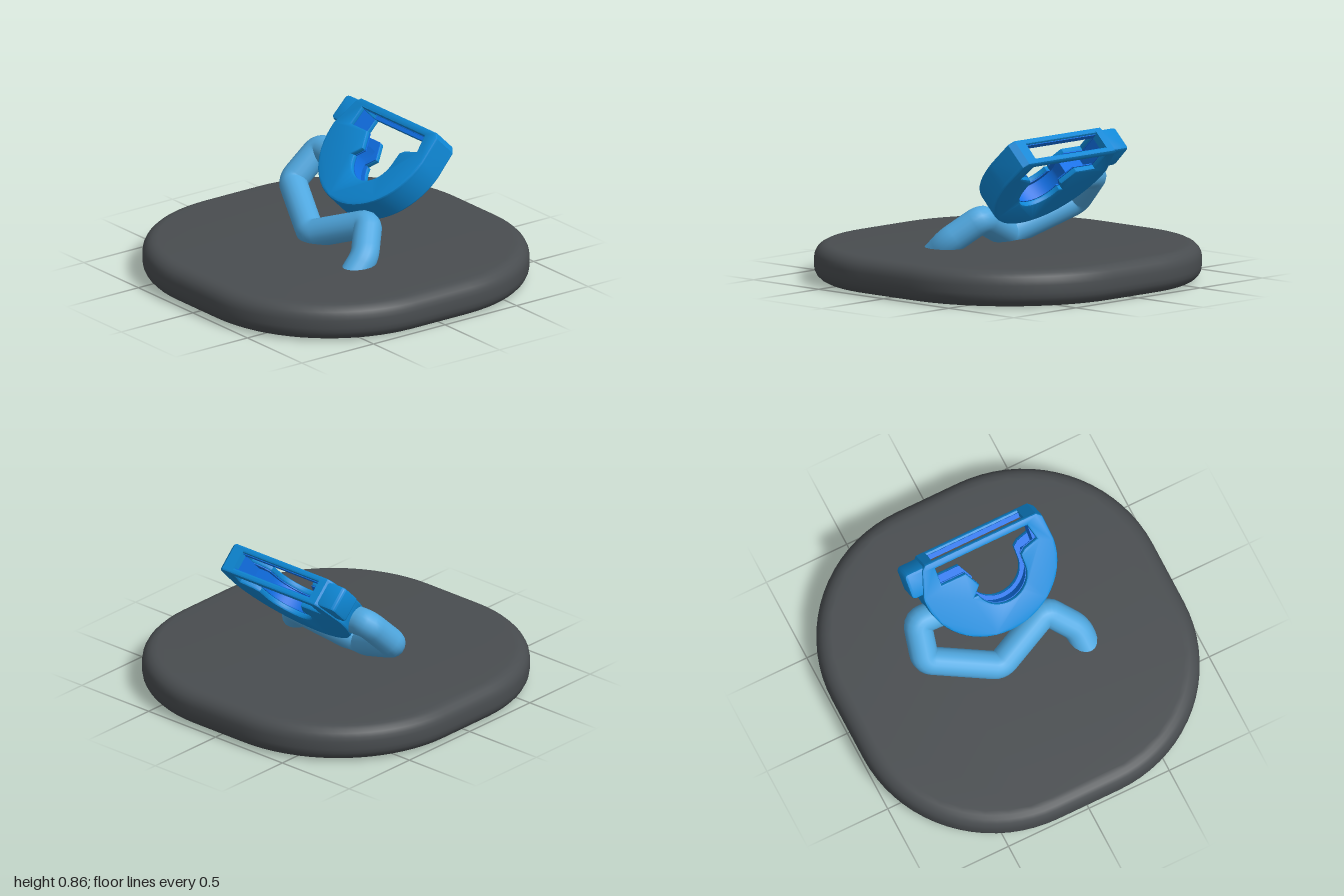
import * as THREE from 'three';
import { toCreasedNormals } from 'three/addons/utils/BufferGeometryUtils.js';

const material = (name, color) => new THREE.MeshStandardMaterial({ name, color });

// Extrude a shape centred on z = 0, with softened edges that keep the outline size
function slab(shape, depth, bevel, steps = 2, curveSegments = 14) {
  const geo = new THREE.ExtrudeGeometry(shape, {
    depth: depth - 2 * bevel, curveSegments, bevelEnabled: bevel > 0,
    bevelThickness: bevel, bevelSize: bevel, bevelOffset: -bevel, bevelSegments: steps,
  });
  geo.translate(0, 0, -depth / 2 + bevel);
  return toCreasedNormals(geo, 0.6);
}

function roundedRect(w, h, r) {
  const x = w / 2 - r, y = h / 2 - r, s = new THREE.Shape();
  s.absarc(x, y, r, 0, Math.PI / 2);
  s.absarc(-x, y, r, Math.PI / 2, Math.PI);
  s.absarc(-x, -y, r, Math.PI, Math.PI * 1.5);
  s.absarc(x, -y, r, Math.PI * 1.5, Math.PI * 2);
  s.closePath();
  return s;
}

const lines = (path, points) => points.forEach(([x, y]) => path.lineTo(x, y));

// Outer D outline, from the top left corner round the bottom to the top right
function dOutline(shape) {
  lines(shape, [[-0.31, 0.855], [-0.335, 0.83]]);
  shape.absarc(0.02, 0.665, 0.405, Math.PI, Math.PI * 2);
  lines(shape, [[0.41, 0.825], [0.38, 0.855]]);
}

// Window with a round lower bay and a hooked left lip
function windowPath() {
  const p = new THREE.Path();
  p.moveTo(-0.26, 0.81);
  lines(p, [[-0.26, 0.7], [-0.11, 0.7], [-0.06, 0.6], [-0.11, 0.545]]);
  p.absarc(0.065, 0.585, 0.155, Math.PI + 0.25, Math.PI * 2);
  lines(p, [[0.22, 0.66], [0.25, 0.685], [0.335, 0.71], [0.31, 0.81]]);
  p.closePath();
  return p;
}

function faceShape() {
  const s = new THREE.Shape();
  s.moveTo(0.3, 0.855);
  dOutline(s);
  s.closePath();
  s.holes.push(windowPath());
  return s;
}

// Outer wall, open along the top slot
function wallShape() {
  const s = new THREE.Shape();
  s.moveTo(-0.26, 0.855);
  dOutline(s);
  lines(s, [[0.31, 0.855], [0.31, 0.81], [0.36, 0.78]]);
  s.absarc(0.02, 0.665, 0.37, 0, -Math.PI, true);
  lines(s, [[-0.3, 0.8], [-0.26, 0.81]]);
  s.closePath();
  return s;
}

// Recessed filling between the two faces
function coreShape() {
  const s = new THREE.Shape();
  s.moveTo(-0.265, 0.84);
  lines(s, [[-0.265, 0.64], [-0.1, 0.64], [-0.115, 0.56]]);
  s.absarc(0.065, 0.585, 0.18, Math.PI + 0.1, Math.PI * 2);
  lines(s, [[0.25, 0.64], [0.317, 0.64], [0.317, 0.84], [0.37, 0.82]]);
  s.absarc(0.02, 0.665, 0.38, 0, -Math.PI, true);
  lines(s, [[-0.32, 0.83]]);
  s.closePath();
  return s;
}

// Inner lining of each face
function liningShape() {
  const s = new THREE.Shape();
  s.moveTo(0.37, 0.84);
  lines(s, [[-0.3, 0.84]]);
  s.absarc(0.02, 0.665, 0.38, Math.PI, Math.PI * 2);
  s.closePath();
  s.holes.push(windowPath());
  return s;
}

// Polyline with rounded bends
function bentPath(points, r) {
  const v = points.map(([x, y]) => new THREE.Vector3(x, y, 0));
  const path = new THREE.CurvePath();
  let from = v[0];
  for (let i = 1; i < v.length - 1; i++) {
    const toward = (q) => v[i].clone().add(q.clone().sub(v[i]).setLength(r));
    const a = toward(v[i - 1]), b = toward(v[i + 1]);
    path.add(new THREE.LineCurve3(from, a));
    path.add(new THREE.QuadraticBezierCurve3(a, v[i], b));
    from = b;
  }
  path.add(new THREE.LineCurve3(from, v[v.length - 1]));
  return path;
}

export function createModel() {
  const model = new THREE.Group();
  model.name = 'model';
  const charcoal = material('charcoal', 0x494d50);
  const blue = material('blue', 0x0e88d6);
  const brightBlue = material('bright blue', 0x1070e6);
  const lightBlue = material('light blue', 0x50a8e0);

  const add = (parent, name, geo, mat, x = 0, y = 0, z = 0) => {
    const mesh = new THREE.Mesh(geo, mat);
    mesh.name = name;
    mesh.position.set(x, y, z);
    parent.add(mesh);
    return mesh;
  };

  // Pad-like base
  const base = slab(roundedRect(2, 2, 0.81), 0.206, 0.08, 5, 9);
  base.rotateX(-Math.PI / 2);
  add(model, 'base', base, charcoal, 0, 0.103, 0);

  // Everything above leans back at 45 degrees
  const figure = new THREE.Group();
  figure.name = 'leaningFigure';
  figure.position.set(0, 0.2, 0.135);
  figure.rotation.x = -Math.PI / 4;
  model.add(figure);

  // D-shaped hollow body
  const face = slab(faceShape(), 0.035, 0.012);
  const lining = slab(liningShape(), 0.006, 0);
  for (const [side, s] of [['front', 1], ['back', -1]]) {
    add(figure, side + 'Face', face, blue, 0, 0, s * 0.068);
    add(figure, side + 'Lining', lining, brightBlue, 0, 0, s * 0.049);
  }
  add(figure, 'outerWall', slab(wallShape(), 0.146, 0), blue);
  add(figure, 'core', slab(coreShape(), 0.1, 0), brightBlue);

  // Side lug at the top corner
  add(figure, 'sideLug', slab(roundedRect(0.16, 0.16, 0.025), 0.15, 0.015), blue, -0.36, 0.765, 0);

  // Bent limb carrying the body
  const limb = bentPath([[-0.26, 0.51], [-0.45, 0.52], [-0.485, 0.28],
    [-0.1, 0.05], [0.25, 0.24], [0.385, 0.06], [0.4, -0.12]], 0.045);
  add(figure, 'limb', new THREE.TubeGeometry(limb, 110, 0.08, 18), lightBlue);

  return model;
}
